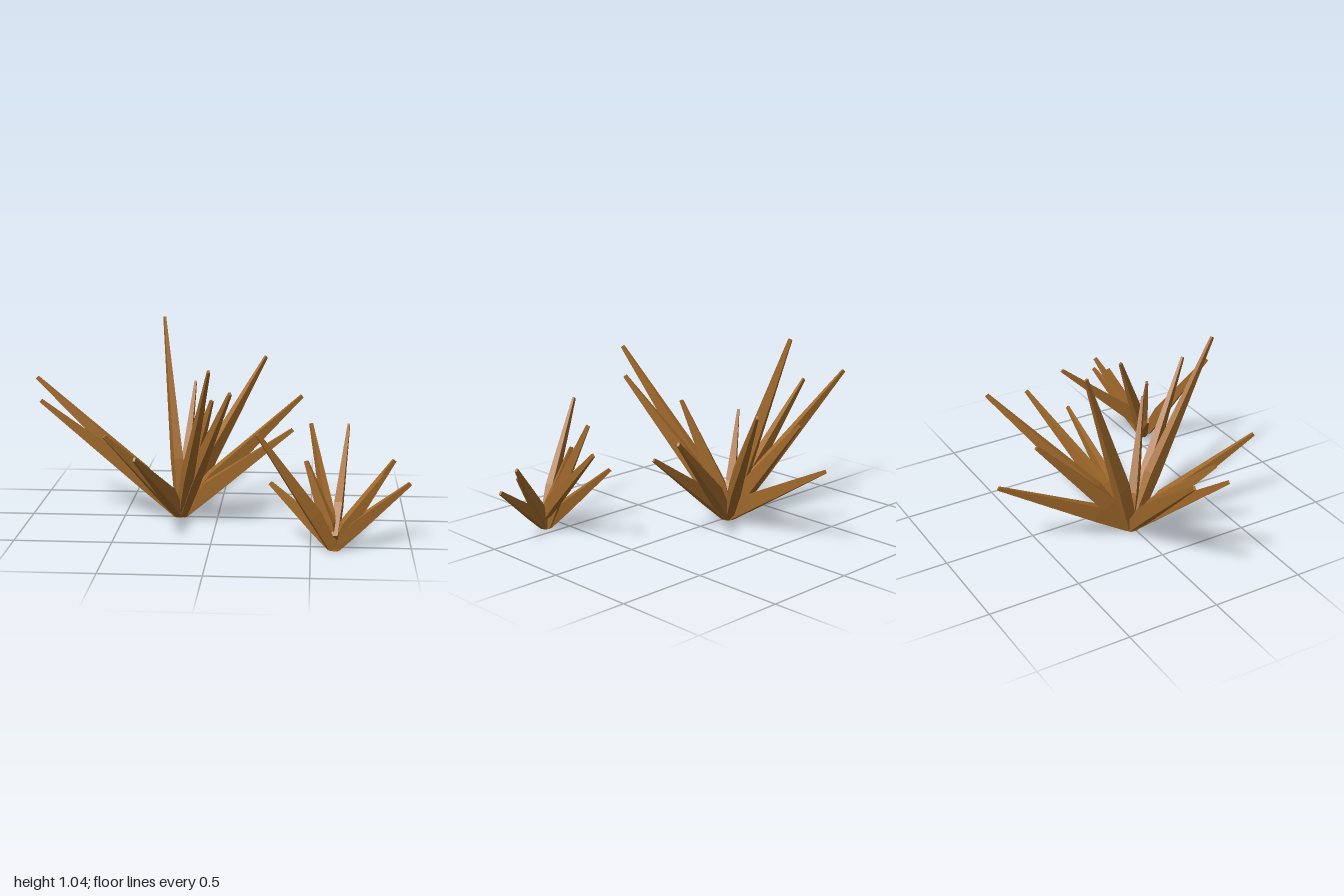
import * as THREE from 'three';

const UP = new THREE.Vector3(0, 1, 0);
const V = (a) => new THREE.Vector3(...a);

// A four-sided blade: narrow flat foot, widest a quarter of the way up, blunt thin tip.
function bladeGeometry(foot, tip, k, squareFoot) {
  const axis = tip.clone().sub(foot).normalize();
  const out = new THREE.Vector3(axis.x, 0, axis.z).normalize();
  const side = UP.clone().cross(out);
  const upper = side.clone().cross(axis).negate(); // points to the upper, inner edge
  if (upper.y < 0) upper.negate();
  const at = (p, dir, d) => p.clone().addScaledVector(dir, d);

  const footDir = squareFoot ? upper : out.clone().negate();
  const footIn = at(foot, footDir, 0.035 * k), footOut = at(foot, footDir, -0.035 * k);
  const tipIn = at(tip, upper, 0.008), tipOut = at(tip, upper, -0.012);
  const midOut = footOut.clone().lerp(tipOut, 0.27);
  const midIn = at(midOut, upper, 0.084 * k);

  const ring = (inner, outer, w) => [
    at(inner, side, -w), at(outer, side, -w), at(outer, side, w), at(inner, side, w)];
  const rings = [ring(footIn, footOut, 0.019 * k), ring(midIn, midOut, 0.025 * k), ring(tipIn, tipOut, 0.006)];

  const pos = [];
  const quad = (a, b, c, d) => [a, b, c, a, c, d].forEach((p) => pos.push(p.x, p.y, p.z));
  for (let r = 0; r < 2; r++) {
    for (let i = 0; i < 4; i++) {
      const j = (i + 1) % 4;
      quad(rings[r][i], rings[r][j], rings[r + 1][j], rings[r + 1][i]);
    }
  }
  quad(...rings[2]);
  quad(...rings[0].slice().reverse());

  const g = new THREE.BufferGeometry();
  g.setAttribute('position', new THREE.Float32BufferAttribute(pos, 3));
  g.computeVertexNormals();
  return g;
}

export function createModel() {
  const model = new THREE.Group();
  model.name = 'dryGrass';
  const straw = new THREE.MeshStandardMaterial({ color: 0xa0692b });
  straw.name = 'dryBrown';

  function clump(name, foot, k, tips) {
    const group = new THREE.Group();
    group.name = name;
    tips.forEach(([x, y, z, ownFoot, squareFoot]) => {
      const mesh = new THREE.Mesh(
        bladeGeometry(V(ownFoot || foot), V([x, y, z]), k, squareFoot), straw);
      mesh.name = 'blade';
      group.add(mesh);
    });
    model.add(group);
  }

  // Blade tips of the large clump
  clump('largeClump', [-0.2, 0, -0.012], 1, [
    [-0.99, 0.725, -0.15],
    [-0.925, 0.645, 0.09],
    [-0.565, 0.495, 0.265],
    [-0.36, 0.47, 0.65],
    [0, 0.9, 0.61],
    [0.095, 0.77, 0.487],
    [-0.02, 0.67, 0.165],
    [0.395, 0.475, -0.063],
    [0.44, 0.615, -0.29],
    [0.23, 0.775, -0.62],
    [-0.135, 0.45, -0.75],
    [-0.165, 0.64, -0.545],
    [-0.315, 1.035, -0.34],
  ]);

  // Blade tips of the small clump; two blades have their own foot
  clump('smallClump', [0.615, 0.005, 0.56], 0.8, [
    [0.245, 0.625, 0.747, [0.61, 0.02, 0.585]],
    [0.295, 0.3, 0.397],
    [0.495, 0.595, 0.335],
    [0.475, 0.44, 0.5],
    [0.69, 0.535, 0.065, [0.62, 0.065, 0.575], true],
    [0.91, 0.43, 0.407],
    [0.99, 0.32, 0.44],
    [0.86, 0.365, 0.465],
  ]);

  return model;
}
